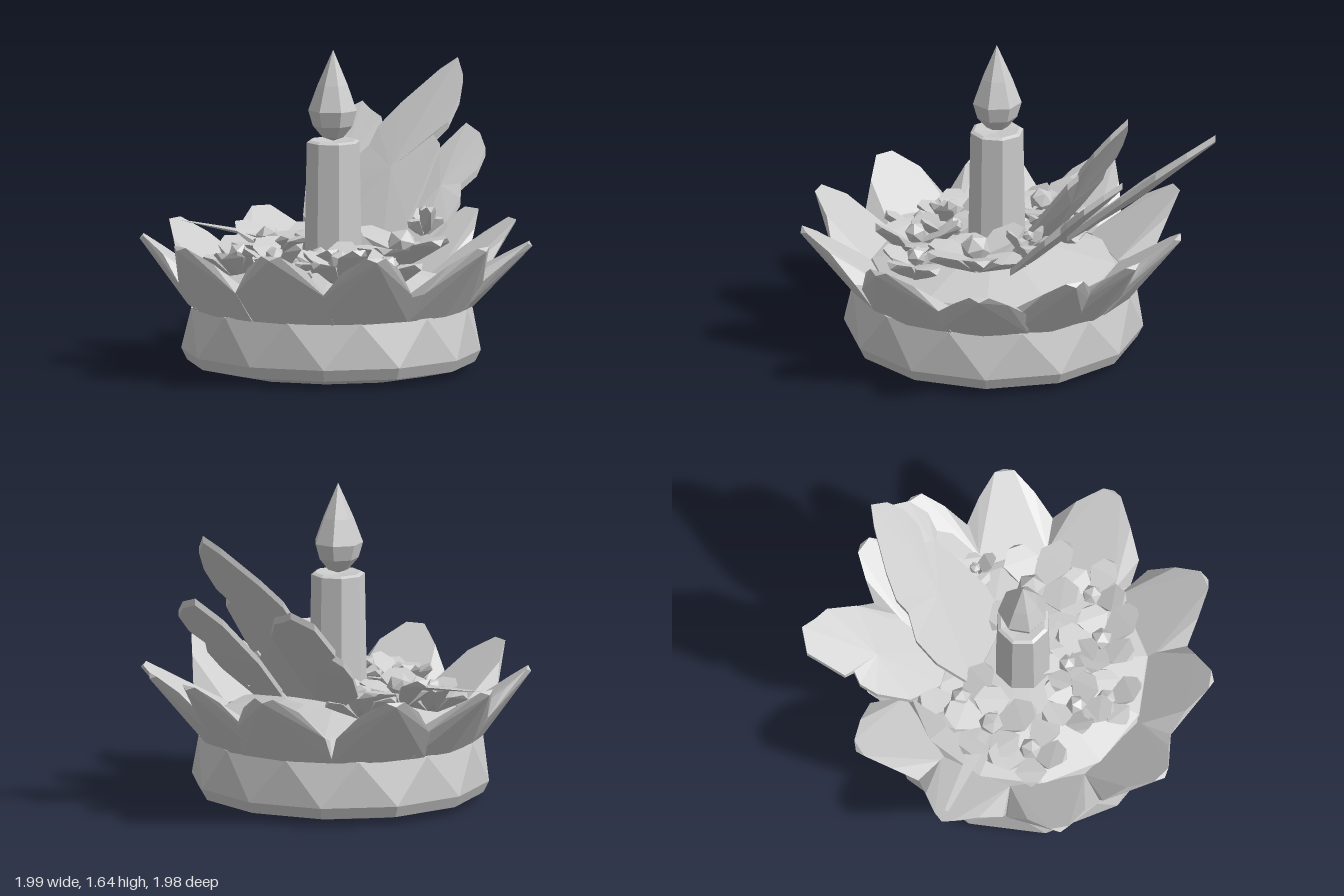
import * as THREE from 'three';
import { ConvexGeometry } from 'three/addons/geometries/ConvexGeometry.js';

const stone = new THREE.MeshStandardMaterial({ color: 0xcccccc });
stone.name = 'pale grey';

const CZ = 0.05; // the bowl sits slightly forward

// Faceted mesh with one normal per face
function facet(name, geometry) {
  const g = geometry.index ? geometry.toNonIndexed() : geometry;
  g.computeVertexNormals();
  const mesh = new THREE.Mesh(g, stone);
  mesh.name = name;
  return mesh;
}

function lathe(name, profile, sides, z) {
  const pts = profile.map(([r, y]) => new THREE.Vector2(r, y));
  const mesh = facet(name, new THREE.LatheGeometry(pts, sides));
  mesh.position.z = z;
  return mesh;
}

// Solid petal: points are [distance out, height, half width] about an origin
function petal(name, rows, angle, ox, oy, oz) {
  const c = Math.cos(angle), s = Math.sin(angle);
  const pts = [];
  for (const [r, y, w] of rows) {
    for (const k of w ? [-w, w] : [0]) {
      pts.push(new THREE.Vector3(ox + c * r - s * k, oy + y, oz + s * r + c * k));
    }
  }
  return facet(name, new ConvexGeometry(pts));
}

// Leaf: outline of [x, distance back], counter-clockwise, on a sloping plane
function leaf(name, outline, height, centre) {
  const at = ([x, b], lift) => [x, height(b) + lift, -b];
  const top = at(centre, 0.045), low = at(centre, -0.045);
  const v = [];
  outline.forEach((p, i) => {
    const q = outline[(i + 1) % outline.length];
    const a = at(p, 0.018), b = at(q, 0.018), c = at(p, -0.018), d = at(q, -0.018);
    v.push(...top, ...a, ...b, ...low, ...d, ...c, ...a, ...c, ...d, ...a, ...d, ...b);
  });
  const g = new THREE.BufferGeometry();
  g.setAttribute('position', new THREE.Float32BufferAttribute(v, 3));
  return facet(name, g);
}

// Small open blossom with chunky, uneven petals and a knobbly centre
function flower(x, y, z, r, count, turn, lift) {
  const g = new THREE.Group();
  g.name = 'flower';
  for (let i = 0; i < count; i++) {
    const up = lift + 0.045 * Math.sin(i * 2.4 + turn * 3);
    const out = r * (1 + 0.12 * Math.cos(i * 1.9 + turn));
    const w = r * 2 / count;
    g.add(petal('flowerPetal', [
      [0.02, -0.08, 0.03], [0.03, 0, 0.03],
      [out * 0.6, up * 0.5 - 0.055, 0], [out * 0.62, up * 0.6 + 0.005, w],
      [out * 0.92, up, w * 0.45], [out, up - 0.03, 0],
    ], turn + i * Math.PI * 2 / count, x, y, z));
  }
  const knob = facet('flowerCentre', new THREE.IcosahedronGeometry(r * 0.28, 0));
  knob.position.set(x, y + 0.04, z);
  knob.rotation.set(turn, turn * 2, 0);
  g.add(knob);
  return g;
}

export function createModel() {
  const model = new THREE.Group();
  model.name = 'candleCentrepiece';

  // Drum base with the top ring twisted half a side
  const drum = new THREE.LatheGeometry(
    [[0, 0], [0.56, 0], [0.735, 0.04], [0.765, 0.1], [0.73, 0.335], [0, 0.36]]
      .map(([r, y]) => new THREE.Vector2(r, y)), 12);
  const p = drum.attributes.position;
  const turn = new THREE.Vector3(), axis = new THREE.Vector3(0, 1, 0);
  for (let i = 0; i < p.count; i++) {
    turn.fromBufferAttribute(p, i);
    if (turn.y > 0.3) turn.applyAxisAngle(axis, Math.PI / 12);
    p.setXYZ(i, turn.x, turn.y, turn.z);
  }
  const base = facet('base', drum);
  base.position.z = CZ;
  model.add(base);
  model.add(lathe('innerMound', [[0.68, 0.33], [0.62, 0.44], [0.3, 0.53], [0, 0.55]], 12, CZ));

  // Ring of large pointed petals: tip x, z, height, half width
  const tips = [
    [0.99, 0.12, 0.71, 0.25], [0.9, -0.45, 0.66, 0.23], [0.56, -0.82, 0.71, 0.2],
    [0.22, -0.96, 0.72, 0.2], [-0.25, -0.93, 0.71, 0.25], [-0.82, -0.55, 0.7, 0.25],
    [-1.0, 0.0, 0.69, 0.24], [-0.82, 0.58, 0.69, 0.24], [-0.35, 0.96, 0.71, 0.25],
    [0.23, 0.99, 0.71, 0.25], [0.73, 0.75, 0.71, 0.24],
  ];
  for (const [x, z, y, w] of tips) {
    const r = Math.hypot(x, z - CZ);
    model.add(petal('outerPetal', [
      [0.68, 0.33, w], [0.73, 0.33, 0], [0.6, 0.43, w * 0.8],
      [0.78, 0.48, w], [0.84, 0.49, 0],
      [r - 0.12, y - 0.08, w * 0.62], [r - 0.02, y, 0.05], [r, y - 0.02, 0],
    ], Math.atan2(z - CZ, x), 0, 0, CZ));
  }

  // Candle and flame
  model.add(lathe('candle', [[0.152, 0.4], [0.138, 1.165], [0.12, 1.175], [0, 1.16]], 8, 0.03));
  model.add(lathe('flame', [[0, 1.17], [0.055, 1.19], [0.105, 1.25], [0.128, 1.33],
    [0.08, 1.46], [0, 1.64]], 7, 0.03));

  // Upright leaves leaning back
  model.add(leaf('tallLeaf', [
    [0.18, 0.14], [0.25, 0.28], [0.26, 0.42], [0.26, 0.57], [0.2, 0.6], [0.26, 0.65],
    [0.27, 0.74], [0.24, 0.82], [0.17, 0.88], [0.09, 0.83], [-0.06, 0.7], [-0.14, 0.61],
    [-0.15, 0.54], [-0.24, 0.46], [-0.26, 0.34], [-0.22, 0.16],
  ], b => 0.67 + (b - 0.25) * 1.29, [0.04, 0.45]));
  model.add(leaf('sideLeaf', [
    [-0.12, 0.32], [-0.16, 0.62], [-0.21, 0.8], [-0.32, 0.92], [-0.4, 0.95], [-0.48, 0.99],
    [-0.58, 0.92], [-0.56, 0.72], [-0.51, 0.69], [-0.55, 0.64], [-0.54, 0.55], [-0.46, 0.4],
    [-0.3, 0.3],
  ], b => 1.19 + (b - 0.99) * 0.87, [-0.37, 0.62]));
  model.add(leaf('sideLeaf', [
    [0.32, 0.26], [0.4, 0.42], [0.41, 0.53], [0.37, 0.6], [0.42, 0.67], [0.41, 0.77],
    [0.33, 0.84], [0.22, 0.88], [0.14, 0.75], [0.1, 0.5], [0.12, 0.28],
  ], b => 1.11 + (b - 0.84) * 0.95, [0.27, 0.56]));

  // Slender blade lying over the right-hand petal
  model.add(petal('blade', [
    [0, 0.01, 0.01], [0.35, -0.01, 0.035], [0.35, -0.03, 0], [0.62, -0.05, 0.01],
  ], 0.03, -0.94, 0.67, 0));

  // Flowers: x, y, z, radius, petals, turn, lift
  const flowers = [
    [0.35, 0.62, -0.07, 0.28, 6, 0.3, 0.05], [-0.4, 0.6, 0.02, 0.23, 5, 0.9, 0.06],
    [0.25, 0.57, 0.36, 0.21, 5, 0.5, 0.08], [-0.13, 0.57, 0.38, 0.19, 5, 1.3, 0.08],
    [-0.43, 0.54, 0.25, 0.21, 5, 0.2, 0.06], [-0.02, 0.52, 0.5, 0.18, 5, 0.8, 0.06],
    [0.46, 0.55, 0.22, 0.19, 5, 0.1, 0.05], [0.06, 0.57, 0.25, 0.17, 5, 0.6, 0.05],
    [-0.32, 0.57, -0.18, 0.2, 5, 0.4, 0.06], [0.3, 0.74, -0.36, 0.11, 5, 0.7, 0.04],
  ];
  for (const f of flowers) model.add(flower(...f));

  return model;
}
